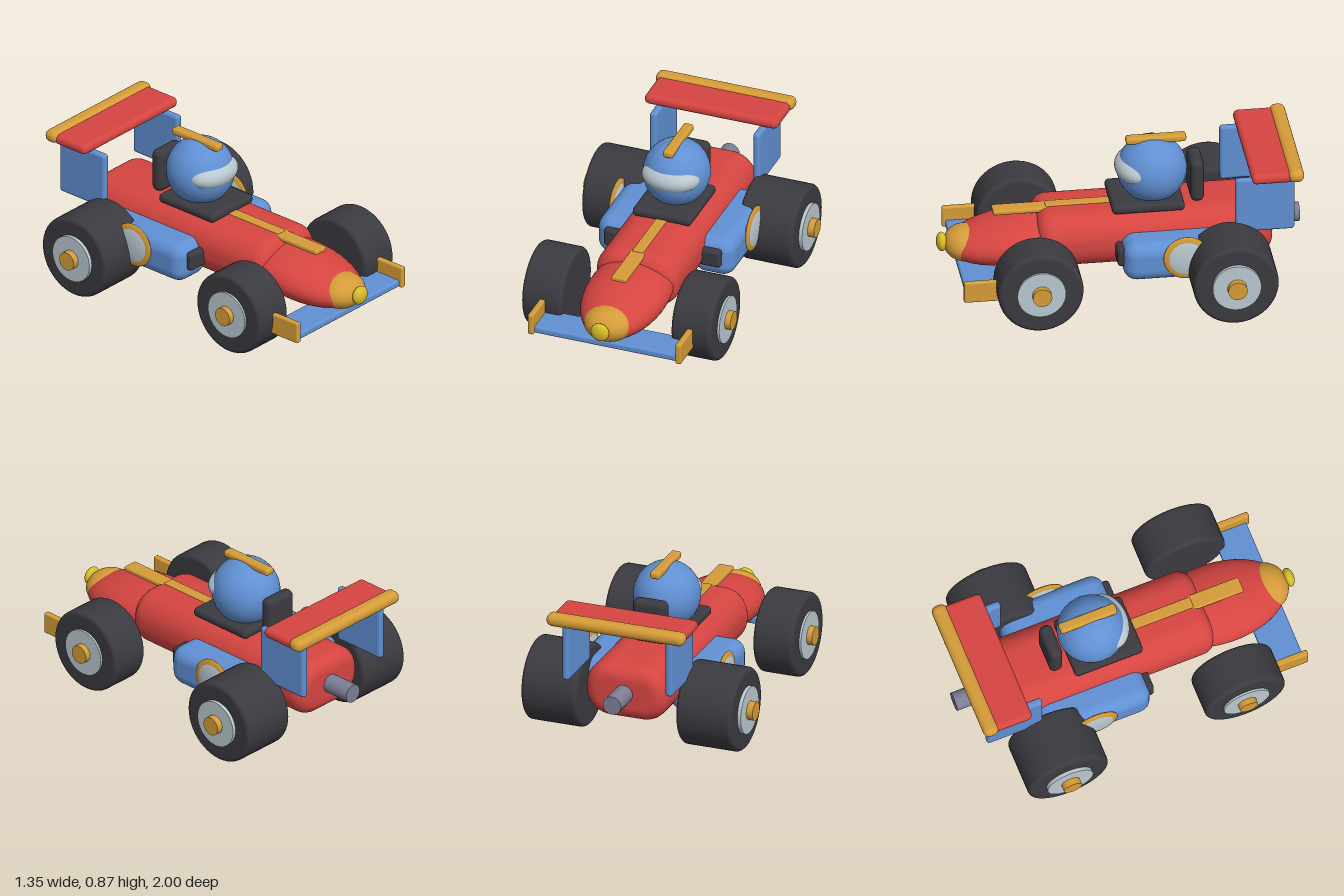
import * as THREE from 'three';
import { RoundedBoxGeometry } from 'three/addons/geometries/RoundedBoxGeometry.js';

export function createModel() {
  const car = new THREE.Group();
  car.name = 'raceCar';

  const mat = (name, color) => {
    const m = new THREE.MeshStandardMaterial({ color });
    m.name = name;
    return m;
  };
  const red = mat('red', 0xd64541);
  const blue = mat('blue', 0x6090d4);
  const gold = mat('gold', 0xd59c38);
  const dark = mat('charcoal', 0x3a3a40);
  const light = mat('paleGrey', 0xbac8d0);
  const yellow = mat('yellow', 0xd6bd28);
  const steel = mat('steel', 0x7c7e96);

  const add = (name, geometry, material, x = 0, y = 0, z = 0, parent = car) => {
    const mesh = new THREE.Mesh(geometry, material);
    mesh.name = name;
    mesh.position.set(x, y, z);
    parent.add(mesh);
    return mesh;
  };
  // Rounded box given by its extents on each axis
  const box = (name, material, [x0, x1], [y0, y1], [z0, z1], r) =>
    add(name, new RoundedBoxGeometry(x1 - x0, y1 - y0, z1 - z0, 4, r), material,
      (x0 + x1) / 2, (y0 + y1) / 2, (z0 + z1) / 2);
  const ellipsoid = (name, material, rx, ry, rz, x, y, z) =>
    add(name, new THREE.SphereGeometry(1, 40, 28).scale(rx, ry, rz), material, x, y, z);

  // Body: stadium-like section with softly rounded ends
  const bevel = 0.08, w = 0.16, h = 0.0775, r = 0.065;
  const section = new THREE.Shape();
  section.moveTo(w, -h + r);
  section.absarc(w - r, h - r, r, 0, Math.PI / 2);
  section.absarc(-w + r, h - r, r, Math.PI / 2, Math.PI);
  section.absarc(-w + r, -h + r, r, Math.PI, Math.PI * 1.5);
  section.absarc(w - r, -h + r, r, Math.PI * 1.5, Math.PI * 2);
  const bodyGeo = new THREE.ExtrudeGeometry(section, {
    depth: 1.29 - bevel * 2, bevelThickness: bevel, bevelSize: bevel, bevelSegments: 8, curveSegments: 10,
  });
  smoothNormals(bodyGeo);
  add('body', bodyGeo, red, 0, 0.33, -0.83 + bevel);

  // Nose
  ellipsoid('nose', red, 0.232, 0.13, 0.4, 0, 0.31, 0.55).rotation.x = 0.11;
  ellipsoid('noseCap', gold, 0.137, 0.096, 0.12, 0, 0.285, 0.84);
  ellipsoid('noseTip', yellow, 0.053, 0.053, 0.03, 0, 0.298, 0.97);

  // Centre stripe
  box('narrowStripe', gold, [-0.032, 0.032], [0.465, 0.494], [0.03, 0.4], 0.008);
  box('wideStripe', gold, [-0.044, 0.044], [0.458, 0.486], [0.34, 0.69], 0.01);

  // Cockpit and driver
  box('cockpitCollar', dark, [-0.172, 0.172], [0.478, 0.532], [-0.35, 0.05], 0.024);
  box('headrest', dark, [-0.1, 0.1], [0.485, 0.735], [-0.468, -0.392], 0.034);
  ellipsoid('helmet', blue, 0.186, 0.19, 0.192, 0, 0.67, -0.19);
  ellipsoid('visor', light, 0.166, 0.085, 0.118, 0, 0.69, -0.102);
  box('helmetCrest', gold, [-0.03, 0.03], [0.83, 0.872], [-0.378, -0.045], 0.016);

  // Front wing
  box('frontWing', blue, [-0.425, 0.425], [0.155, 0.195], [0.69, 0.89], 0.012);

  // Rear wing
  box('rearWing', red, [-0.39, 0.39], [0.725, 0.785], [-0.92, -0.69], 0.028);
  box('rearWingEdge', gold, [-0.405, 0.405], [0.728, 0.8], [-0.977, -0.89], 0.034);

  // Exhaust
  add('exhaust', new THREE.CylinderGeometry(0.053, 0.053, 0.17, 28).rotateX(Math.PI / 2), steel, 0, 0.333, -0.915);

  // Tyre profile, rounded at the shoulders
  const tyreGeo = (width) => {
    const R = 0.235, b = 0.025, e = width / 2;
    const pts = [new THREE.Vector2(0, -e)];
    for (let i = 0; i <= 5; i++) {
      const a = -Math.PI / 2 + (i / 5) * Math.PI / 2;
      pts.push(new THREE.Vector2(R - b + b * Math.cos(a), -e + b + b * Math.sin(a)));
    }
    for (let i = 0; i <= 5; i++) {
      const a = (i / 5) * Math.PI / 2;
      pts.push(new THREE.Vector2(R - b + b * Math.cos(a), e - b + b * Math.sin(a)));
    }
    pts.push(new THREE.Vector2(0, e));
    return new THREE.LatheGeometry(pts, 48).rotateZ(-Math.PI / 2);
  };
  const disc = (radius, width) => new THREE.CylinderGeometry(radius, radius, width, 36).rotateZ(Math.PI / 2);

  // A wheel from its inner face to its outer face, rim and hub standing proud
  const wheel = (name, side, inner, outer, rimX, hubX, z) => {
    const g = new THREE.Group();
    g.name = name;
    g.position.set(0, 0.235, z);
    add('tyre', tyreGeo(outer - inner), dark, side * (inner + outer) / 2, 0, 0, g);
    add('rim', disc(0.134, 0.1), light, side * (rimX - 0.05), 0, 0, g);
    add('hub', disc(0.053, 0.1), gold, side * (hubX - 0.05), 0, 0, g);
    car.add(g);
  };

  for (const side of [1, -1]) {
    const n = side > 0 ? 'left' : 'right';
    const span = (a, b) => (side > 0 ? [a, b] : [-b, -a]);

    wheel(n + 'FrontWheel', side, 0.32, 0.555, 0.567, 0.6, 0.497);
    wheel(n + 'RearWheel', side, 0.292, 0.618, 0.638, 0.675, -0.57);

    // Side pod with intake and round badge plate
    box(n + 'SidePod', blue, span(0.16, 0.4), [0.17, 0.398], [-0.61, 0.015], 0.075);
    box(n + 'Intake', dark, span(0.2, 0.342), [0.25, 0.355], [-0.045, 0.045], 0.02);
    ellipsoid(n + 'PodRing', gold, 0.02, 0.127, 0.127, side * 0.4, 0.315, -0.325);
    ellipsoid(n + 'PodDisc', light, 0.024, 0.115, 0.115, side * 0.4, 0.315, -0.325);

    box(n + 'FrontWingPlate', gold, span(0.415, 0.449), [0.152, 0.275], [0.7, 0.908], 0.01);
    box(n + 'RearWingStrut', blue, span(0.282, 0.324), [0.405, 0.732], [-0.932, -0.605], 0.018);
  }
  return car;
}

// Average the normals of coincident corners
function smoothNormals(geo) {
  const p = geo.attributes.position, n = geo.attributes.normal, sums = new Map();
  const key = (i) => [p.getX(i), p.getY(i), p.getZ(i)].map((v) => Math.round(v * 1e4)).join();
  const v = new THREE.Vector3();
  for (let i = 0; i < p.count; i++) {
    const k = key(i);
    if (!sums.has(k)) sums.set(k, new THREE.Vector3());
    sums.get(k).add(v.fromBufferAttribute(n, i));
  }
  for (let i = 0; i < p.count; i++) {
    v.copy(sums.get(key(i))).normalize();
    n.setXYZ(i, v.x, v.y, v.z);
  }
}
